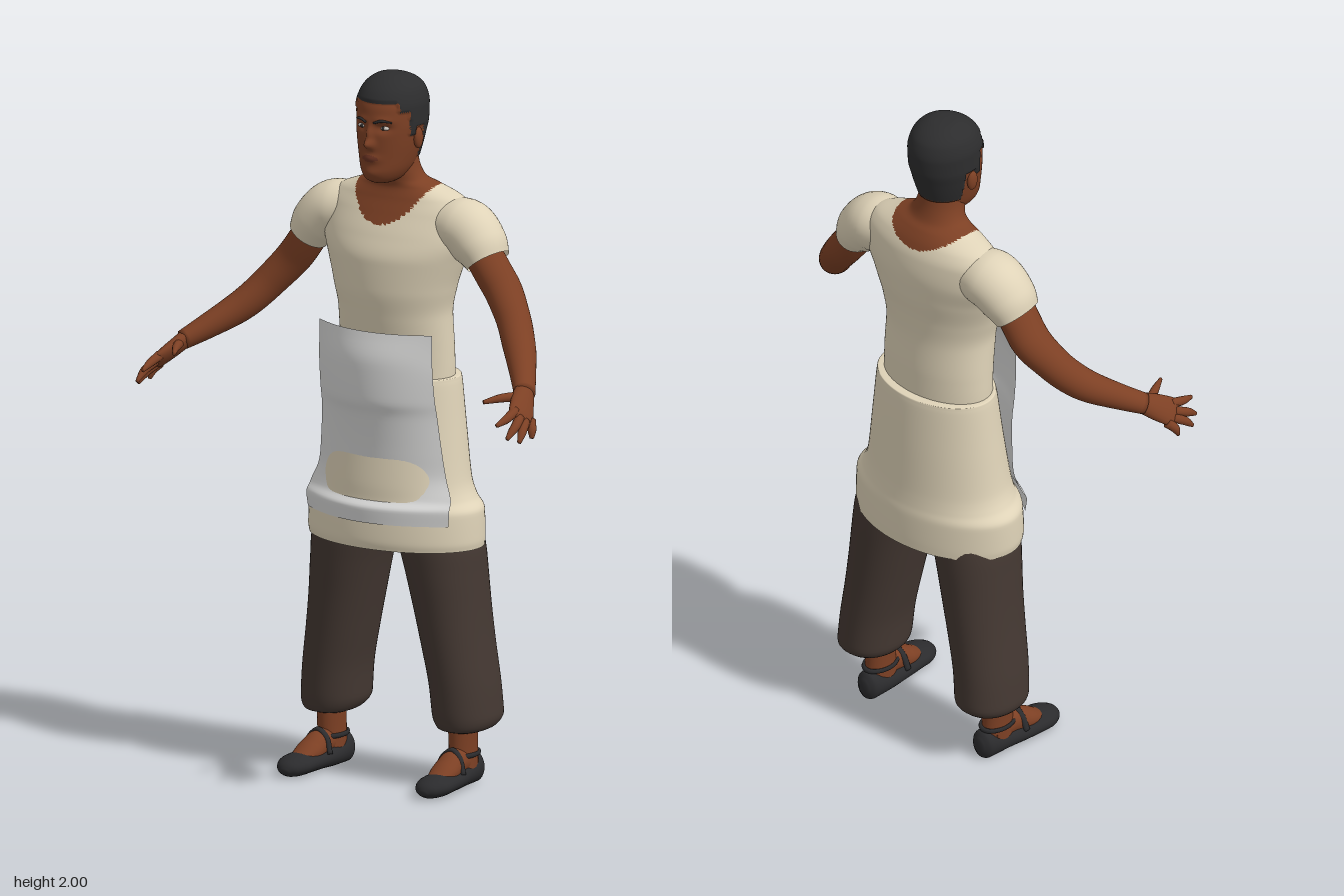
import * as THREE from 'three';

const mat = (name, color, side = THREE.FrontSide) => {
  const m = new THREE.MeshStandardMaterial({ color, side });
  m.name = name;
  return m;
};

// Smooth interpolation through rows of numbers, without overshoot
function sample(rows, t) {
  const f = t * (rows.length - 1), i = Math.min(Math.floor(f), rows.length - 2), u = f - i;
  const slope = (k, c) => {
    const last = rows.length - 1;
    if (k === 0) return rows[1][c] - rows[0][c];
    if (k === last) return rows[last][c] - rows[last - 1][c];
    const a = rows[k][c] - rows[k - 1][c], b = rows[k + 1][c] - rows[k][c];
    return a * b <= 0 ? 0 : (2 * a * b) / (a + b);
  };
  return rows[0].map((_, c) => {
    const a = rows[i][c], b = rows[i + 1][c], u2 = u * u, u3 = u2 * u;
    return a * (2 * u3 - 3 * u2 + 1) + b * (3 * u2 - 2 * u3)
      + slope(i, c) * (u3 - 2 * u2 + u) + slope(i + 1, c) * (u3 - u2);
  });
}

// Surface through rings of points; pick(x, y, z) chooses a material for each face
function surface(name, rings, mats, { pick = () => 0, cap = false, open = false } = {}) {
  const n = rings[0].length, pts = rings.flat(), lists = mats.map(() => []);
  const tri = (a, b, c) => {
    const m = pts[a].clone().add(pts[b]).add(pts[c]).divideScalar(3);
    lists[pick(m.x, m.y, m.z)].push(a, b, c);
  };
  for (let i = 0; i < rings.length - 1; i++) for (let j = 0; j < (open ? n - 1 : n); j++) {
    const a = i * n + j, b = i * n + (j + 1) % n;
    tri(a, b, a + n);
    tri(b, b + n, a + n);
  }
  if (cap) for (const end of [0, rings.length - 1]) {
    const mid = new THREE.Vector3();
    rings[end].forEach(p => mid.addScaledVector(p, 1 / n));
    pts.push(mid);
    for (let j = 0; j < n; j++) {
      const a = end * n + j, b = end * n + (j + 1) % n;
      if (end) tri(a, b, pts.length - 1); else tri(b, a, pts.length - 1);
    }
  }
  const g = new THREE.BufferGeometry().setFromPoints(pts);
  g.setIndex(lists.flat());
  let start = 0;
  if (mats.length > 1) lists.forEach((l, k) => { g.addGroup(start, l.length, k); start += l.length; });
  g.computeVertexNormals();
  const mesh = new THREE.Mesh(g, mats.length > 1 ? mats : mats[0]);
  mesh.name = name;
  return mesh;
}

// Upright body: rows of [y, centre x, half width, front z, back z]
function loft(name, rows, mats, { n = 48, steps = 40, power = 2, warp = p => p, ...rest } = {}) {
  const e = v => Math.sign(v) * Math.abs(v) ** (2 / power), rings = [];
  for (let i = 0; i <= steps; i++) {
    const [y, cx, rx, zf, zb] = sample(rows, i / steps);
    rings.push(Array.from({ length: n }, (_, j) => {
      const a = j / n * Math.PI * 2;
      return warp(new THREE.Vector3(cx + rx * e(Math.sin(a)), y, (zf + zb) / 2 + (zf - zb) / 2 * e(Math.cos(a))));
    }));
  }
  return surface(name, rings, mats, rest);
}

// Limb along a path: rows of [x, y, z, thin radius, wide radius], mirrored by s
function limb(name, rows, material, s = 1, { wide = [0, 0, 1], n = 20, steps = 20, floor = -1, cap = true } = {}) {
  const r = rows.map(([x, ...q]) => [x * s, ...q]), rings = [];
  const at = t => new THREE.Vector3(...sample(r, Math.min(1, Math.max(0, t))).slice(0, 3));
  for (let i = 0; i <= steps; i++) {
    const t = i / steps, [, , , ra, rb] = sample(r, t), c = at(t);
    const T = at(t + 0.02).sub(at(t - 0.02)).normalize();
    const W = new THREE.Vector3(wide[0] * s, wide[1], wide[2]);
    W.addScaledVector(T, -W.dot(T)).normalize();
    const U = new THREE.Vector3().crossVectors(W, T);
    rings.push(Array.from({ length: n }, (_, j) => {
      const a = j / n * Math.PI * 2;
      const p = c.clone().addScaledVector(U, Math.cos(a) * ra).addScaledVector(W, Math.sin(a) * rb);
      p.y = Math.max(p.y, floor);
      return p;
    }));
  }
  return surface(name, rings, [material], { cap });
}

export function createModel() {
  const skin = mat('skin', 0x7d4024), lip = mat('lips', 0x6b3322), hair = mat('hair', 0x2d2d2e);
  const cream = mat('cream cloth', 0xdfd3b8, THREE.DoubleSide), white = mat('apron cloth', 0xd9d9d8, THREE.DoubleSide);
  const brown = mat('trouser cloth', 0x443832), black = mat('shoe leather', 0x2b2b2d);
  const eyeWhite = mat('eye white', 0xcfc8c0);
  const model = new THREE.Group();
  model.name = 'figure';
  const ball = (name, m, p, size) => {
    const b = new THREE.Mesh(new THREE.SphereGeometry(1, 20, 14), m);
    b.name = name;
    b.position.set(...p);
    b.scale.set(...size);
    model.add(b);
  };

  // Head with sculpted face, lips and hair
  const isHair = (y, z) => y > (z < -0.1 ? 1.768 : z < -0.065 ? 1.86 : z < -0.04 ? 1.835 : z < -0.012 ? 1.905 : 1.93);
  const bump = (x, y, cx, cy, w, h) => Math.exp(-(((Math.abs(x) - cx) / w) ** 2) - ((y - cy) / h) ** 2);
  model.add(loft('head', [
    [1.70, 0, .03, 0, -.08], [1.712, 0, .048, .022, -.12], [1.74, 0, .066, .032, -.15], [1.78, 0, .078, .03, -.165],
    [1.83, 0, .088, .03, -.18], [1.87, 0, .093, .028, -.19], [1.91, 0, .093, .023, -.192], [1.95, 0, .083, .003, -.18],
    [1.977, 0, .06, -.03, -.15], [1.989, 0, .033, -.06, -.118], [1.992, 0, .004, -.085, -.092],
  ], [skin, hair, lip], {
    n: 112, steps: 90, cap: true,
    warp: p => {
      const { x, y } = p;
      if (isHair(y, p.z)) p.sub(new THREE.Vector3(0, 1.86, -.08)).multiplyScalar(1.05).add(new THREE.Vector3(0, 1.86, -.08));
      else if (p.z > -.04) p.z += .024 * bump(x, y, 0, 1.816, .013, .013) + .014 * bump(x, y, 0, 1.845, .01, .024)
        + .005 * bump(x, y, .034, 1.882, .025, .01) - .01 * bump(x, y, .036, 1.861, .02, .012)
        + .008 * bump(x, y, 0, 1.775, .026, .011) + .004 * bump(x, y, 0, 1.732, .025, .015);
      return p;
    },
    pick: (x, y, z) => isHair(y, z) ? 1 : z > 0 && Math.abs(y - 1.775) < .01 * (1 - (x / .029) ** 2) ? 2 : 0,
  }));

  // Shirt body, with neck and scooped neckline
  model.add(loft('shirtAndNeck', [
    [1.0, 0, .17, 0, -.21], [1.15, 0, .175, 0, -.225], [1.22, 0, .174, .005, -.225], [1.32, 0, .172, .02, -.222],
    [1.40, 0, .187, .03, -.228], [1.48, 0, .212, .028, -.24], [1.55, 0, .235, .005, -.245], [1.61, 0, .232, -.025, -.238],
    [1.65, 0, .2, -.045, -.222], [1.68, 0, .13, -.055, -.2], [1.70, 0, .085, -.05, -.18], [1.74, 0, .067, -.038, -.165],
    [1.80, 0, .06, -.035, -.155],
  ], [cream, skin], {
    n: 112, steps: 110,
    pick: (x, y, z) => Math.abs(x) < .125 && y > (z > -.12 ? 1.58 + .1 * (Math.abs(x) / .12) ** 2.4 : 1.635 + .05 * (x / .12) ** 2) ? 1 : 0,
  }));

  // Wrapped skirt with flared hem
  model.add(loft('skirt', [
    [.675, 0, .267, .065, -.28], [.70, 0, .27, .068, -.28], [.775, 0, .268, .062, -.277], [.81, 0, .243, .053, -.272],
    [.85, 0, .226, .05, -.268], [1.0, 0, .205, .03, -.26], [1.135, 0, .19, .012, -.25], [1.148, 0, .187, .008, -.247],
    [1.15, 0, .172, -.005, -.222],
  ], [cream], { n: 72, steps: 56 }));

  // Apron panel: rows of [y, half width, middle z, edge z]
  const panel = [[1.29, .186, .058, 0], [1.2, .187, .077, 0], [1.1, .189, .073, -.01], [1.05, .191, .058, -.02],
    [.95, .2, .042, -.03], [.88, .21, .036, -.035], [.82, .232, .046, -.025], [.79, .236, .072, -.01], [.75, .232, .07, -.012]];
  const strips = [];
  for (let i = 0; i <= 48; i++) {
    const [y, w, mid, edge] = sample(panel, 1 - i / 48);
    strips.push(Array.from({ length: 33 }, (_, j) => {
      const u = j / 16 - 1;
      return new THREE.Vector3(u * w, y, edge + (mid - edge) * (1 - u * u));
    }));
  }
  model.add(surface('apronPanel', strips, [white], { open: true }));

  for (const s of [1, -1]) {
    // Face details
    ball('ear', skin, [s * .092, 1.825, -.075], [.011, .03, .018]);
    ball('eye', eyeWhite, [s * .036, 1.861, .01], [.015, .006, .008]);
    ball('pupil', hair, [s * .035, 1.861, .0145], [.006, .0056, .005]);
    model.add(limb('eyebrow', [[.013, 1.877, .03, .003, .004], [.036, 1.884, .025, .004, .004], [.058, 1.878, .006, .002, .003]], hair, s, { n: 8 }));

    // Sleeve and arm
    model.add(limb('sleeve', [[.14, 1.58, -.13, .07, .075], [.21, 1.575, -.127, .082, .088], [.265, 1.535, -.12, .075, .083],
      [.297, 1.493, -.115, .057, .071]], cream, s, { n: 40, steps: 24, cap: false }));
    model.add(limb('arm', [[.26, 1.54, -.115, .05, .06], [.33, 1.44, -.115, .05, .06], [.395, 1.36, -.085, .047, .052],
      [.455, 1.29, -.03, .044, .047], [.52, 1.235, .05, .035, .037], [.565, 1.2, .11, .027, .031]], skin, s, { n: 32, steps: 32 }));

    // Hand with fingers
    const across = [.3, -.4, -.6];
    model.add(limb('palm', [[.555, 1.21, .095, .024, .027], [.578, 1.18, .14, .021, .038], [.598, 1.155, .178, .016, .042],
      [.607, 1.143, .197, .008, .034]], skin, s, { wide: across }));
    const fingers = [
      ['indexFinger', [.588, 1.17, .19], [.59, 1.157, .235], [.585, 1.145, .28]],
      ['middleFinger', [.602, 1.152, .19], [.612, 1.13, .235], [.612, 1.108, .268]],
      ['ringFinger', [.61, 1.14, .175], [.624, 1.117, .212], [.63, 1.094, .235]],
      ['littleFinger', [.613, 1.137, .15], [.628, 1.115, .168], [.632, 1.094, .175]],
      ['thumb', [.563, 1.195, .13], [.54, 1.198, .18], [.512, 1.193, .235]],
    ];
    for (const [name, a, b, c] of fingers)
      model.add(limb(name, [[...a, .014, .014], [...b, .0115, .0125], [...c, .005, .006]], skin, s, { wide: across, n: 12, steps: 10 }));

    // Gathered trouser leg
    model.add(loft('trouserLeg', [
      [.155, s * .22, .05, -.055, -.17], [.165, s * .22, .072, -.03, -.215], [.2, s * .217, .088, -.02, -.247],
      [.28, s * .21, .088, -.015, -.245], [.4, s * .19, .092, -.008, -.243], [.5, s * .173, .098, -.002, -.243],
      [.6, s * .157, .106, .006, -.243], [.68, s * .143, .113, .01, -.24], [.78, s * .126, .108, .005, -.225],
      [.95, s * .1, .1, -.01, -.21],
    ], [brown], { power: 2.2, cap: true }));

    // Ankle, foot and strapped shoe
    model.add(loft('ankle', [[.04, s * .217, .036, -.05, -.165], [.1, s * .217, .036, -.06, -.16], [.2, s * .218, .04, -.06, -.155]], [skin], { n: 24, steps: 12 }));
    const side = { wide: [1, 0, 0], n: 28, steps: 28, floor: 0 };
    model.add(limb('foot', [[.217, .06, -.14, .03, .03], [.22, .072, -.07, .04, .035], [.224, .055, -.01, .032, .04], [.227, .04, .045, .015, .03]], skin, s, side));
    model.add(limb('shoe', [[.214, .04, -.186, .02, .015], [.214, .04, -.165, .045, .036], [.216, .032, -.1, .036, .042],
      [.224, .03, -.02, .031, .05], [.229, .028, .05, .03, .052], [.229, .022, .095, .022, .034], [.229, .016, .112, .008, .012]], black, s, side));
    model.add(limb('instepStrap', [[.177, .045, -.04, .006, .01], [.189, .085, -.045, .006, .01], [.222, .11, -.048, .006, .01],
      [.251, .085, -.045, .006, .01], [.264, .045, -.04, .006, .01]], black, s, { n: 10 }));
    const strap = new THREE.Mesh(new THREE.TorusGeometry(1, .12, 8, 32), black);
    strap.name = 'ankleStrap';
    strap.position.set(s * .217, .088, -.11);
    strap.rotation.x = Math.PI / 2;
    strap.scale.set(.038, .056, .06);
    model.add(strap);
  }
  return model;
}
